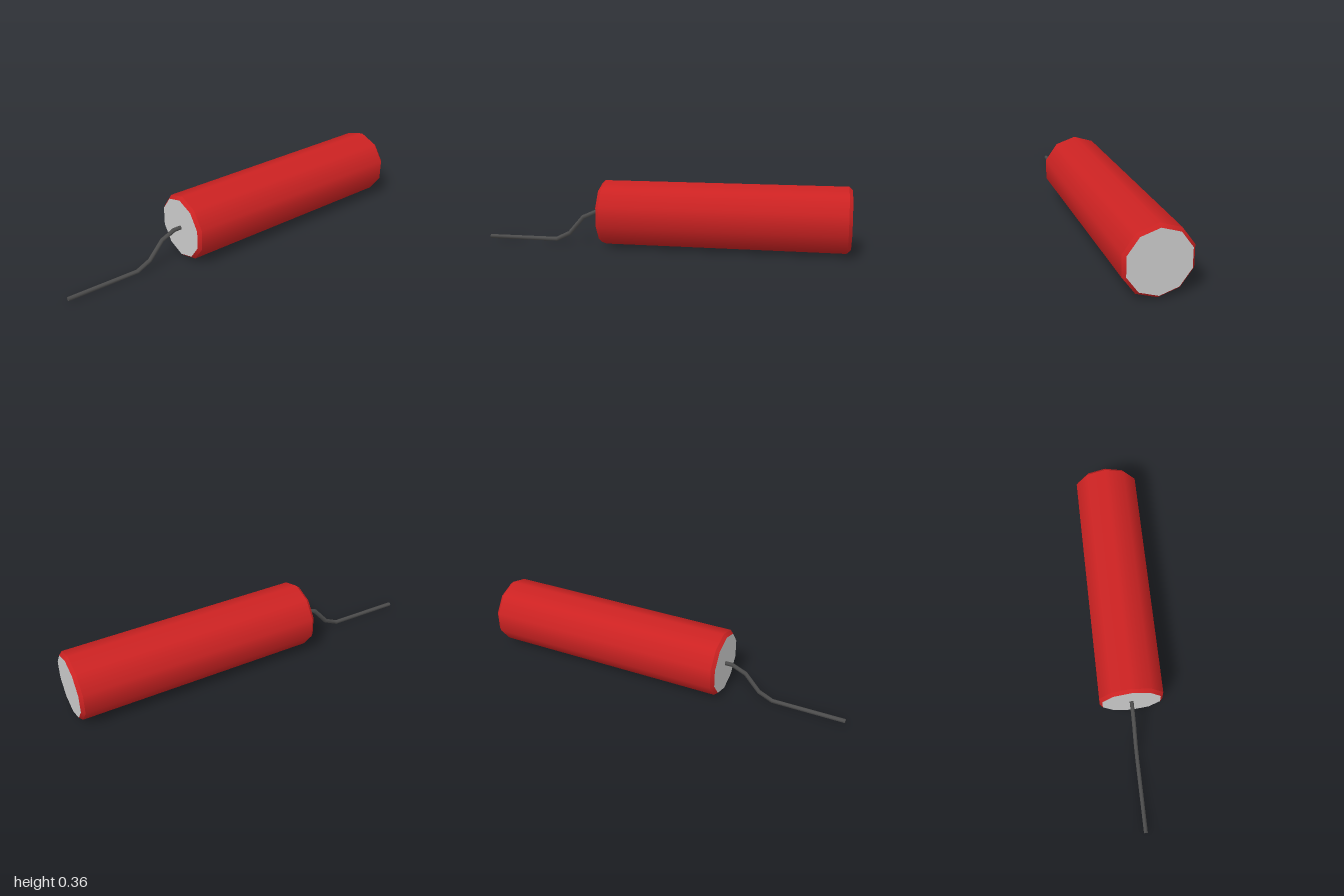
import * as THREE from 'three';

const SIDES = 10, RADIUS = 0.178, CAP_RADIUS = 0.162, AXIS_Y = 0.179;
const X0 = -0.335, X1 = 1, BEVEL = 0.018;

const red = new THREE.MeshStandardMaterial({ color: 0xcc2222 });
const grey = new THREE.MeshStandardMaterial({ color: 0xcccccc });
const dark = new THREE.MeshStandardMaterial({ color: 0x4c4c4c });

function add(group, name, geometry, material) {
  const mesh = new THREE.Mesh(geometry, material);
  mesh.name = name;
  group.add(mesh);
}

// Open tapered ring lying along x, with a corner pointing straight up
function ring(xa, xb, ra, rb) {
  return new THREE.CylinderGeometry(rb, ra, xb - xa, SIDES, 1, true, Math.PI / 2)
    .rotateZ(-Math.PI / 2)
    .translate((xa + xb) / 2, AXIS_Y, 0);
}

// Flat end disc facing along x (dir is 1 or -1)
function disc(x, dir) {
  return new THREE.CircleGeometry(CAP_RADIUS, SIDES, Math.PI / 2)
    .rotateY(dir * Math.PI / 2)
    .translate(x, AXIS_Y, 0);
}

// Straight rod whose rings are moved onto a bent path with mitred corners
function bentWire(points, radius, sides) {
  const n = points.length - 1;
  const geo = new THREE.CylinderGeometry(radius, radius, 1, sides, n, false, Math.PI / 2)
    .rotateZ(-Math.PI / 2);
  const path = points.map(([x, y]) => new THREE.Vector2(x, y));
  const dirs = path.slice(1).map((p, i) => p.clone().sub(path[i]).normalize());
  const pos = geo.attributes.position;
  for (let v = 0; v < pos.count; v++) {
    const i = Math.round((pos.getX(v) + 0.5) * n);
    const before = dirs[Math.max(i - 1, 0)], after = dirs[Math.min(i, n - 1)];
    const t = before.clone().add(after).normalize();
    const offset = pos.getY(v) / t.dot(after);
    pos.setXY(v, path[i].x - t.y * offset, path[i].y + t.x * offset);
  }
  geo.computeVertexNormals();
  return geo;
}

export function createModel() {
  const group = new THREE.Group();
  group.name = 'firecracker';

  // Paper tube with bevelled rims
  add(group, 'tube', ring(X0 + BEVEL, X1 - BEVEL, RADIUS, RADIUS), red);
  add(group, 'fuseEndRim', ring(X0, X0 + BEVEL, CAP_RADIUS, RADIUS), red);
  add(group, 'farEndRim', ring(X1 - BEVEL, X1, RADIUS, CAP_RADIUS), red);

  // End caps
  add(group, 'fuseEndCap', disc(X0, -1), grey);
  add(group, 'farEndCap', disc(X1, 1), grey);

  // Fuse drooping from the cap to the ground
  add(group, 'fuse', bentWire([
    [-1, 0.016], [-0.607, 0.016], [-0.53, 0.053],
    [-0.45, 0.146], [-0.374, 0.18], [X0 + 0.005, 0.18],
  ], 0.0118, 6), dark);

  return group;
}
